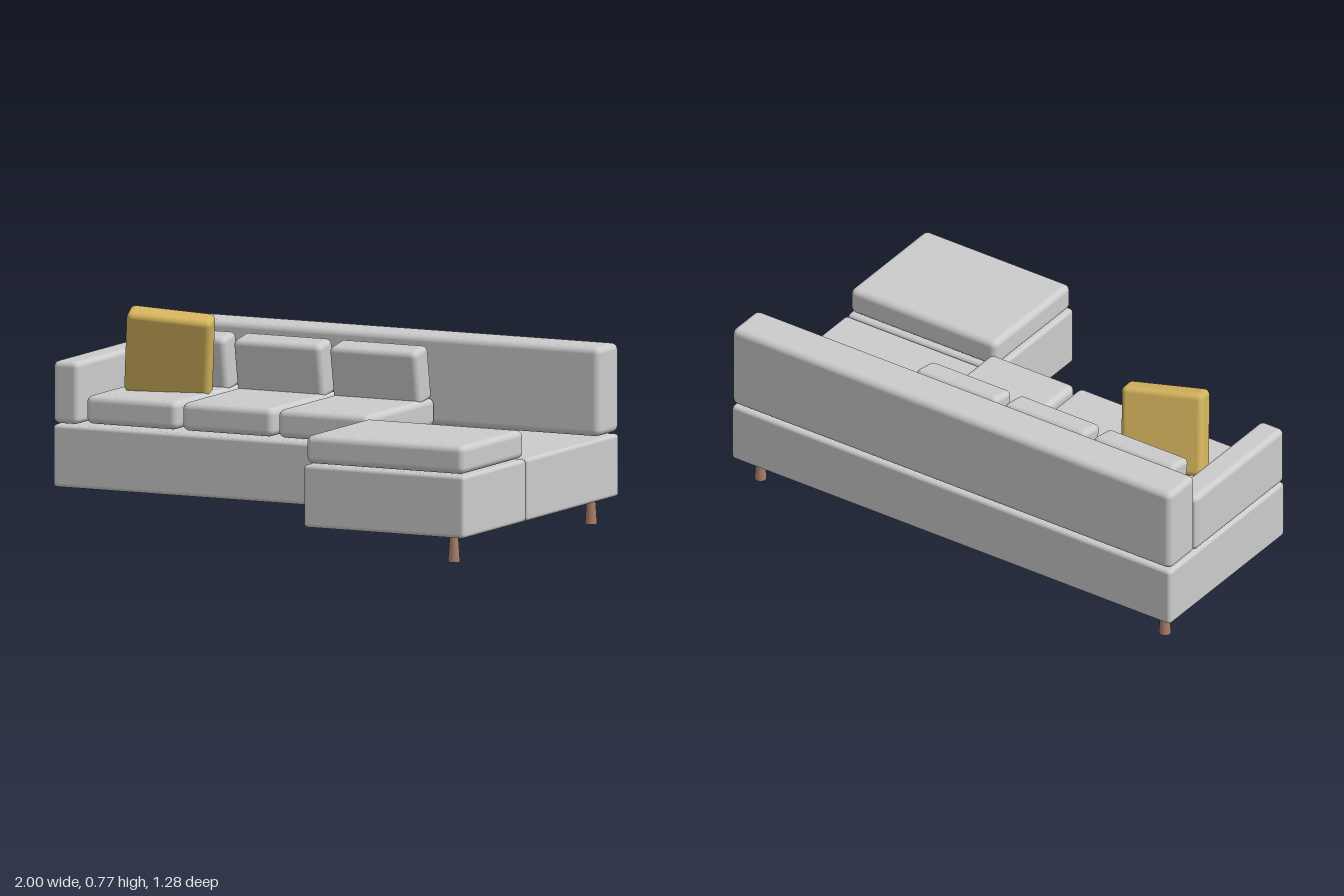
import * as THREE from 'three';
import { RoundedBoxGeometry } from 'three/addons/geometries/RoundedBoxGeometry.js';

export function createModel() {
  const sofa = new THREE.Group();
  sofa.name = 'sectionalSofa';

  const fabric = new THREE.MeshStandardMaterial({ color: 0xcccccc });
  const yellow = new THREE.MeshStandardMaterial({ color: 0xd4b45c });
  const wood = new THREE.MeshStandardMaterial({ color: 0xa87e68 });

  // Soft-edged block centred on its own origin
  function block(name, w, h, d, radius, material = fabric) {
    const mesh = new THREE.Mesh(new RoundedBoxGeometry(w, h, d, 4, radius), material);
    mesh.name = name;
    sofa.add(mesh);
    return mesh;
  }

  // Soft-edged block given by its extents
  function blockBetween(name, [x0, x1], [y0, y1], [z0, z1], radius) {
    const mesh = block(name, x1 - x0, y1 - y0, z1 - z0, radius);
    mesh.position.set((x0 + x1) / 2, (y0 + y1) / 2, (z0 + z1) / 2);
    return mesh;
  }

  const baseY = [0.1, 0.337];
  const cushionY = [0.341, 0.448];

  // Bases, backrest and armrest
  blockBetween('mainBase', [-1, 1], baseY, [-0.638, 0.117], 0.015);
  blockBetween('chaiseBase', [0.323, 1], baseY, [0.123, 0.638], 0.015);
  blockBetween('backrest', [-1, 1], [0.344, 0.681], [-0.638, -0.468], 0.025);
  blockBetween('armrest', [-1, -0.893], [0.341, 0.577], [-0.475, 0.117], 0.022);
  blockBetween('chaiseCushion', [0.329, 0.994], cushionY, [0.13, 0.631], 0.025);

  // Three seats, each with a forward-leaning back cushion
  for (let i = 0; i < 3; i++) {
    const x = -0.69 + i * 0.404;
    blockBetween('seatCushion', [x - 0.192, x + 0.192], cushionY, [-0.475, 0.078], 0.025);
    const back = block('backCushion', 0.367, 0.21, 0.113, 0.022);
    back.position.set(x, 0.54, -0.396);
    back.rotation.x = 0.17;
  }

  // Loose throw pillow
  const pillow = block('throwPillow', 0.325, 0.325, 0.1, 0.022, yellow);
  pillow.position.set(-0.65, 0.595, -0.163);
  pillow.rotation.set(0.27, 0.26, -0.09, 'YXZ');

  // Legs, flaring towards the floor
  const legGeometry = new THREE.CylinderGeometry(0.016, 0.023, 0.104, 20);
  for (const [x, z] of [[0.92, 0.563], [0.92, -0.56], [-0.923, -0.56]]) {
    const leg = new THREE.Mesh(legGeometry, wood);
    leg.name = 'leg';
    leg.position.set(x, 0.052, z);
    sofa.add(leg);
  }

  return sofa;
}
